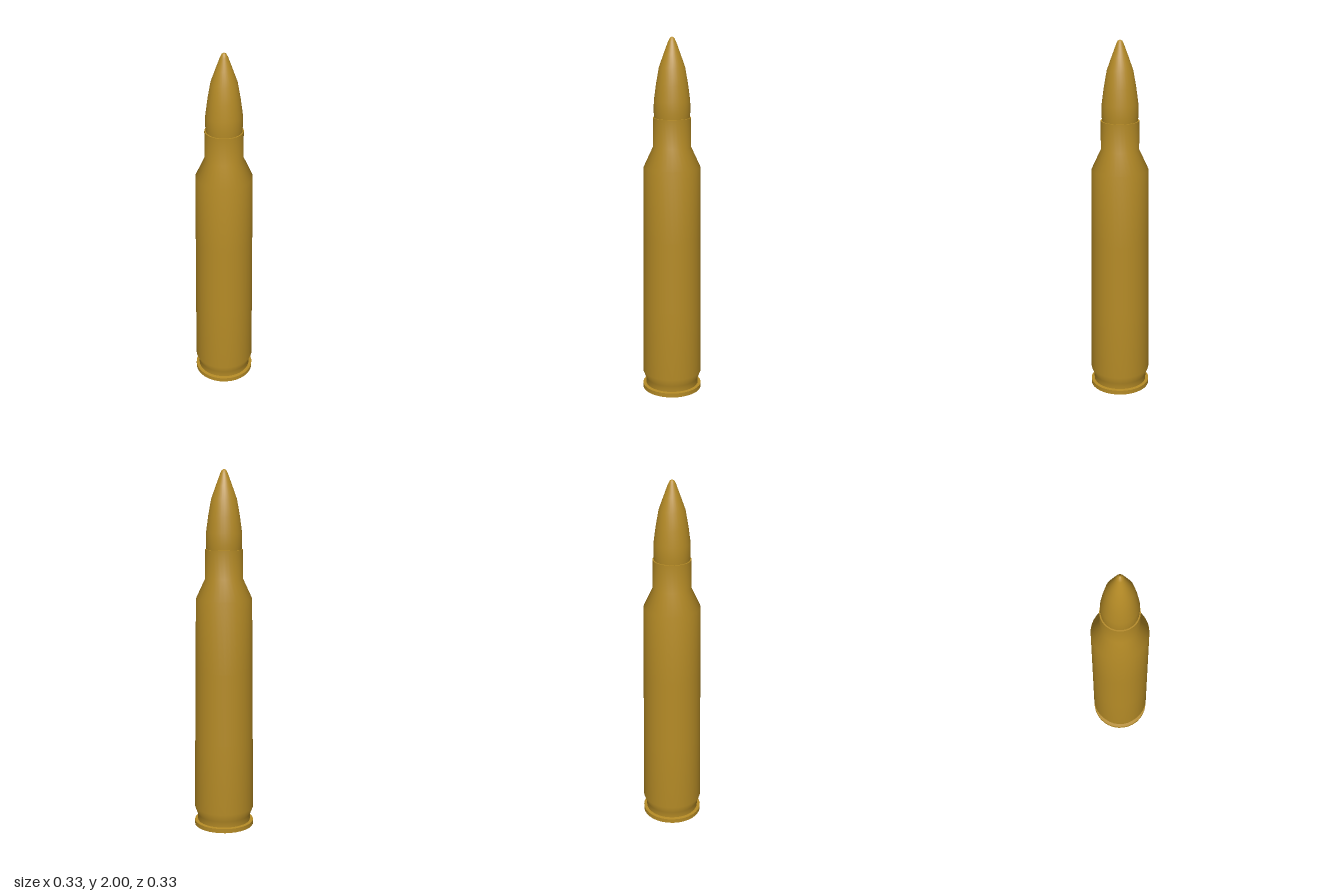
import * as THREE from 'three';

export function createModel() {
  const model = new THREE.Group();
  const brass = new THREE.MeshStandardMaterial({ color: 0xb58b26 });
  brass.name = 'brass';

  // Each turned part is a profile of [radius, height] from bottom to top
  const turn = (name, profile) => {
    const points = profile.map(([r, y]) => new THREE.Vector2(r, y));
    const mesh = new THREE.Mesh(new THREE.LatheGeometry(points, 32), brass);
    mesh.name = name;
    model.add(mesh);
  };

  // Base disc and rim, split where the edges are sharp
  turn('baseFace', [[0, 0], [0.167, 0]]);
  turn('rimEdge', [[0.167, 0], [0.167, 0.024]]);
  turn('rimTop', [[0.167, 0.024], [0.149, 0.026]]);

  // Extractor groove, tapering body, shoulder and neck
  turn('casing', [
    [0.149, 0.026], [0.15, 0.06], [0.167, 0.105], [0.163, 0.5],
    [0.159, 0.9], [0.155, 1.3], [0.104, 1.41], [0.104, 1.57],
  ]);
  turn('mouth', [[0.104, 1.57], [0.096, 1.57]]);

  // Pointed tip with a rounded nose
  turn('tip', [
    [0.096, 1.56], [0.099, 1.6], [0.098, 1.66], [0.086, 1.75], [0.07, 1.84],
    [0.045, 1.91], [0.021, 1.975], [0.012, 1.993], [0, 2],
  ]);
  return model;
}
